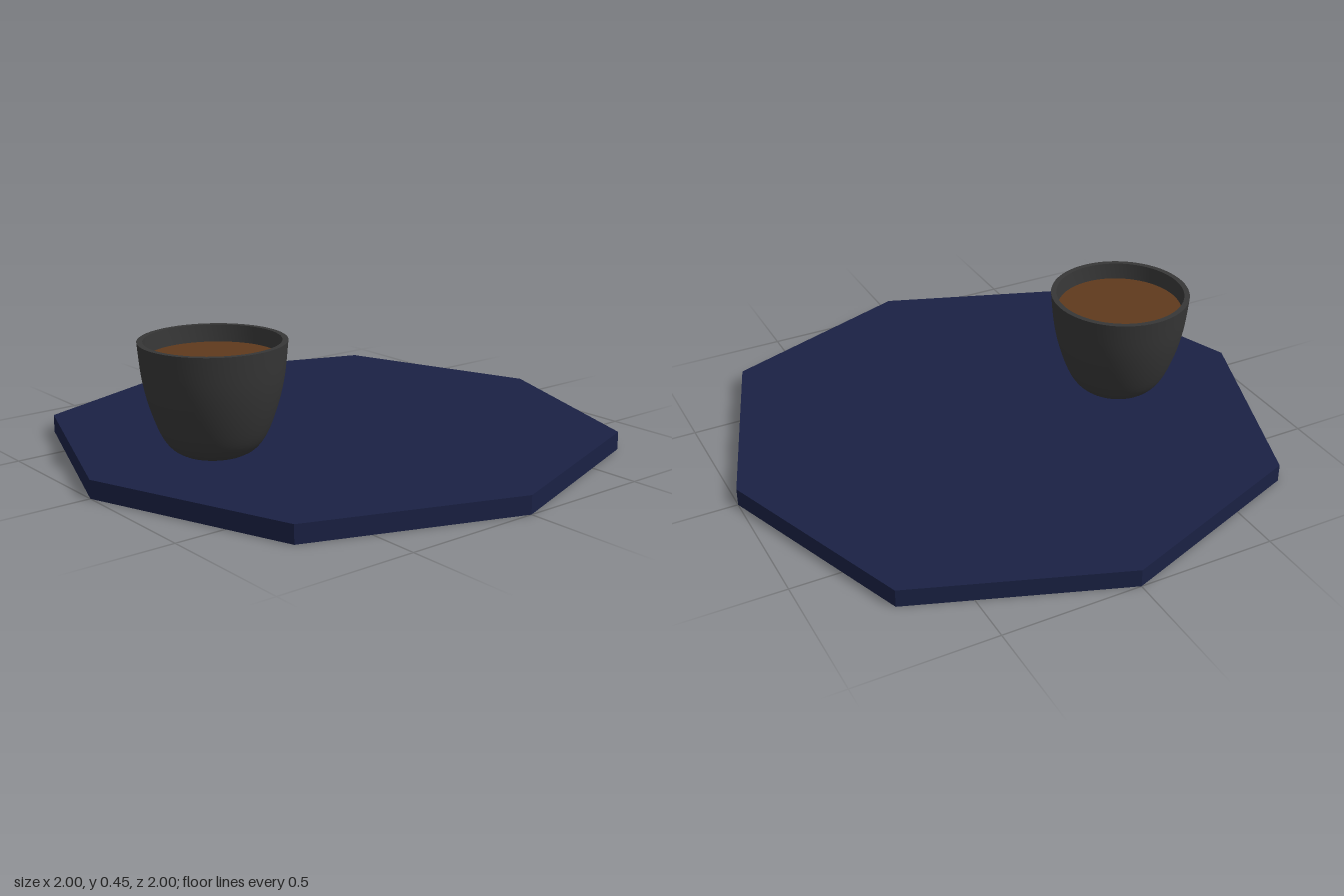
import * as THREE from 'three';
import { toCreasedNormals } from 'three/addons/utils/BufferGeometryUtils.js';

const TRAY_HEIGHT = 0.065;
const CUP_Z = 0.51;

function addPart(parent, name, geometry, color) {
  const mesh = new THREE.Mesh(geometry, new THREE.MeshStandardMaterial({ color }));
  mesh.name = name;
  parent.add(mesh);
  return mesh;
}

export function createModel() {
  const model = new THREE.Group();
  model.name = 'cupOnTray';

  // Eight-sided tray: corners on the axes at 1, diagonal corners slightly further out
  const outline = new THREE.Shape();
  for (let i = 0; i < 8; i++) {
    const r = i % 2 ? 0.733 * Math.SQRT2 : 1;
    const a = (i * Math.PI) / 4;
    outline[i ? 'lineTo' : 'moveTo'](r * Math.cos(a), r * Math.sin(a));
  }
  outline.closePath();
  const tray = new THREE.ExtrudeGeometry(outline, { depth: TRAY_HEIGHT, bevelEnabled: false });
  tray.rotateX(-Math.PI / 2);
  addPart(model, 'tray', tray, 0x1a2144);

  const cup = new THREE.Group();
  cup.name = 'cup';
  cup.position.set(0, TRAY_HEIGHT, CUP_Z);
  model.add(cup);

  // Cup wall: rounded outside, flat rim, then down the inside
  const outer = new THREE.SplineCurve([
    [0.115, 0], [0.145, 0.018], [0.175, 0.055], [0.202, 0.115],
    [0.227, 0.195], [0.244, 0.28], [0.255, 0.39],
  ].map(([r, y]) => new THREE.Vector2(r, y))).getPoints(24);
  const inner = [
    [0.235, 0.39], [0.226, 0.31], [0.205, 0.19], [0.165, 0.08], [0.11, 0.03], [0, 0.03],
  ].map(([r, y]) => new THREE.Vector2(r, y));
  const wall = new THREE.LatheGeometry([new THREE.Vector2(0, 0), ...outer, ...inner], 64);
  addPart(cup, 'cupWall', toCreasedNormals(wall, 0.6), 0x363636);

  // Drink surface just below the rim
  const drink = new THREE.CircleGeometry(0.229, 64);
  drink.rotateX(-Math.PI / 2);
  addPart(cup, 'drink', drink, 0x5f3a1d).position.y = 0.33;

  return model;
}
